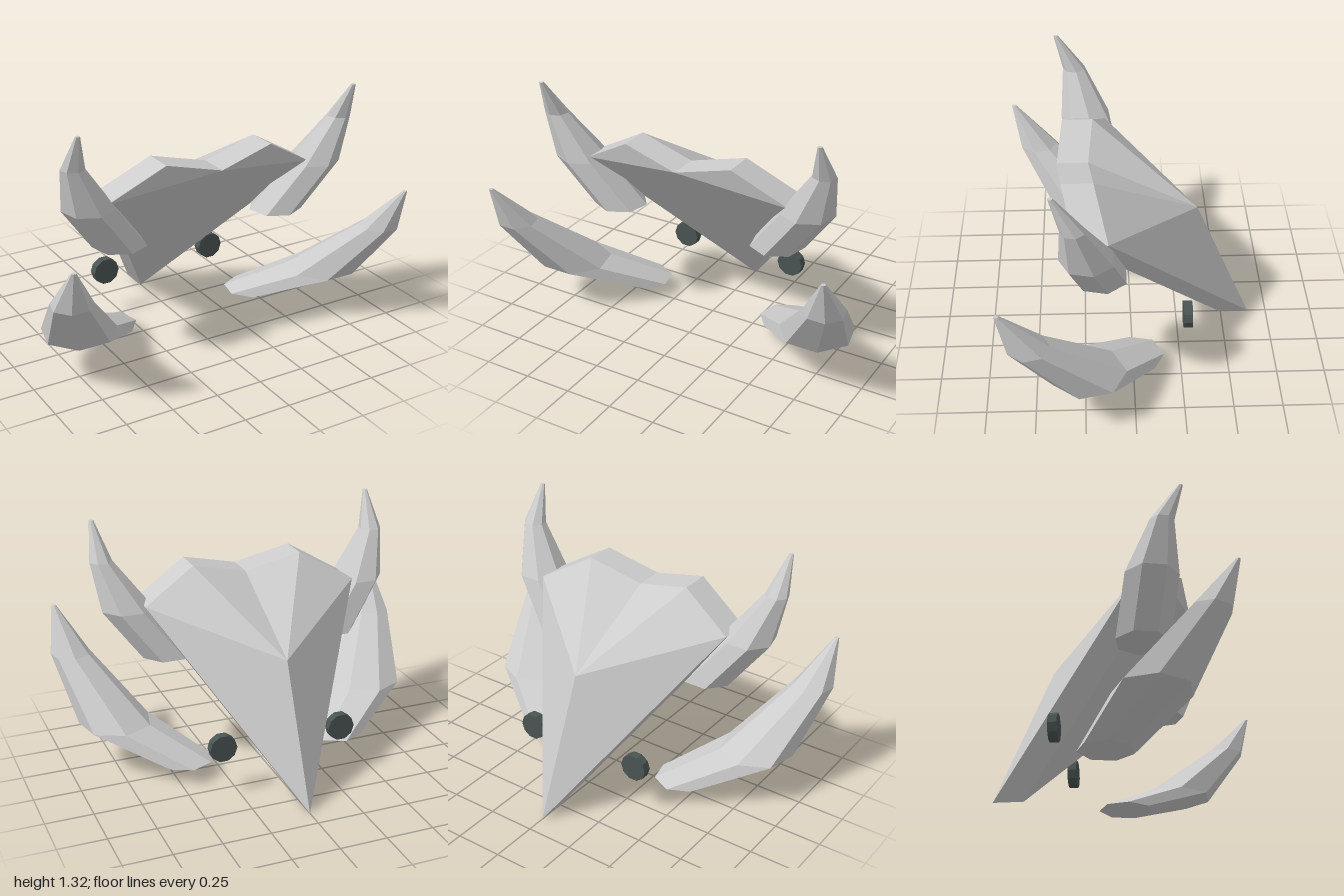
import * as THREE from 'three';

const grey = new THREE.MeshStandardMaterial({ color: 0xcccccc, flatShading: true });
const dark = new THREE.MeshStandardMaterial({ color: 0x4a5553, flatShading: true });

// Curved horn: seven-sided horizontal rings, each [x, y, z, radius], base to tip.
function makeHorn(name, rings, side, thetaStart) {
  const rows = rings.length - 1;
  const geo = new THREE.CylinderGeometry(1, 1, rows, 7, rows, false, thetaStart);
  const pos = geo.attributes.position;
  for (let i = 0; i < pos.count; i++) {
    const [cx, cy, cz, r] = rings[Math.round(pos.getY(i) + rows / 2)];
    pos.setXYZ(i, side * cx + pos.getX(i) * r, cy, cz + pos.getZ(i) * r);
  }
  geo.computeVertexNormals();
  const mesh = new THREE.Mesh(geo, grey);
  mesh.name = name;
  return mesh;
}

// Slanted shield: outline swept straight back, closed by a fan to a raised rear apex.
function makeHull() {
  const outline = [
    [0, 0, -0.49], [0.583, 0.91, 0.283], [0.3, 1.075, 0.35],
    [0, 1, 0.375], [-0.3, 1.075, 0.35], [-0.583, 0.91, 0.283],
  ];
  const n = outline.length, depth = 0.16;
  const points = [...outline, ...outline.map(([x, y, z]) => [x, y, z - depth]), [0, 0.71, -0.35]];
  const faces = [0, 1, 3, 0, 3, 5, 1, 2, 3, 3, 4, 5];
  for (let i = 0; i < n; i++) {
    const j = (i + 1) % n;
    faces.push(i, i + n, j + n, i, j + n, j); // rim
    faces.push(j + n, i + n, 2 * n); // rear fan
  }
  const geo = new THREE.BufferGeometry();
  geo.setAttribute('position', new THREE.Float32BufferAttribute(points.flat(), 3));
  geo.setIndex(faces);
  const flat = geo.toNonIndexed();
  flat.computeVertexNormals();
  const mesh = new THREE.Mesh(flat, grey);
  mesh.name = 'hull';
  return mesh;
}

// Short round disc facing front and back.
function makeDisc(name, side) {
  const geo = new THREE.CylinderGeometry(0.073, 0.073, 0.046, 10, 1, false, Math.PI / 2);
  geo.rotateX(Math.PI / 2);
  const mesh = new THREE.Mesh(geo, dark);
  mesh.name = name;
  mesh.position.set(side * 0.328, 0.26, -0.288);
  return mesh;
}

const upperRings = [
  [0.465, 0.63, 0.162, 0.14], [0.657, 0.887, 0.225, 0.137],
  [0.763, 1.13, 0.287, 0.061], [0.776, 1.32, 0.382, 0.012],
];
const lowerRings = [
  [0.438, 0.085, -0.018, 0.142], [0.737, 0.247, 0.235, 0.194],
  [0.896, 0.56, 0.51, 0.106], [0.942, 0.79, 0.644, 0.012],
];

export function createModel() {
  const model = new THREE.Group();
  model.name = 'model';
  model.add(makeHull());
  for (const [label, side] of [['left', 1], ['right', -1]]) {
    model.add(
      makeHorn(label + 'UpperHorn', upperRings, side, 0),
      makeHorn(label + 'LowerHorn', lowerRings, side, Math.PI),
      makeDisc(label + 'Disc', side),
    );
  }
  return model;
}
